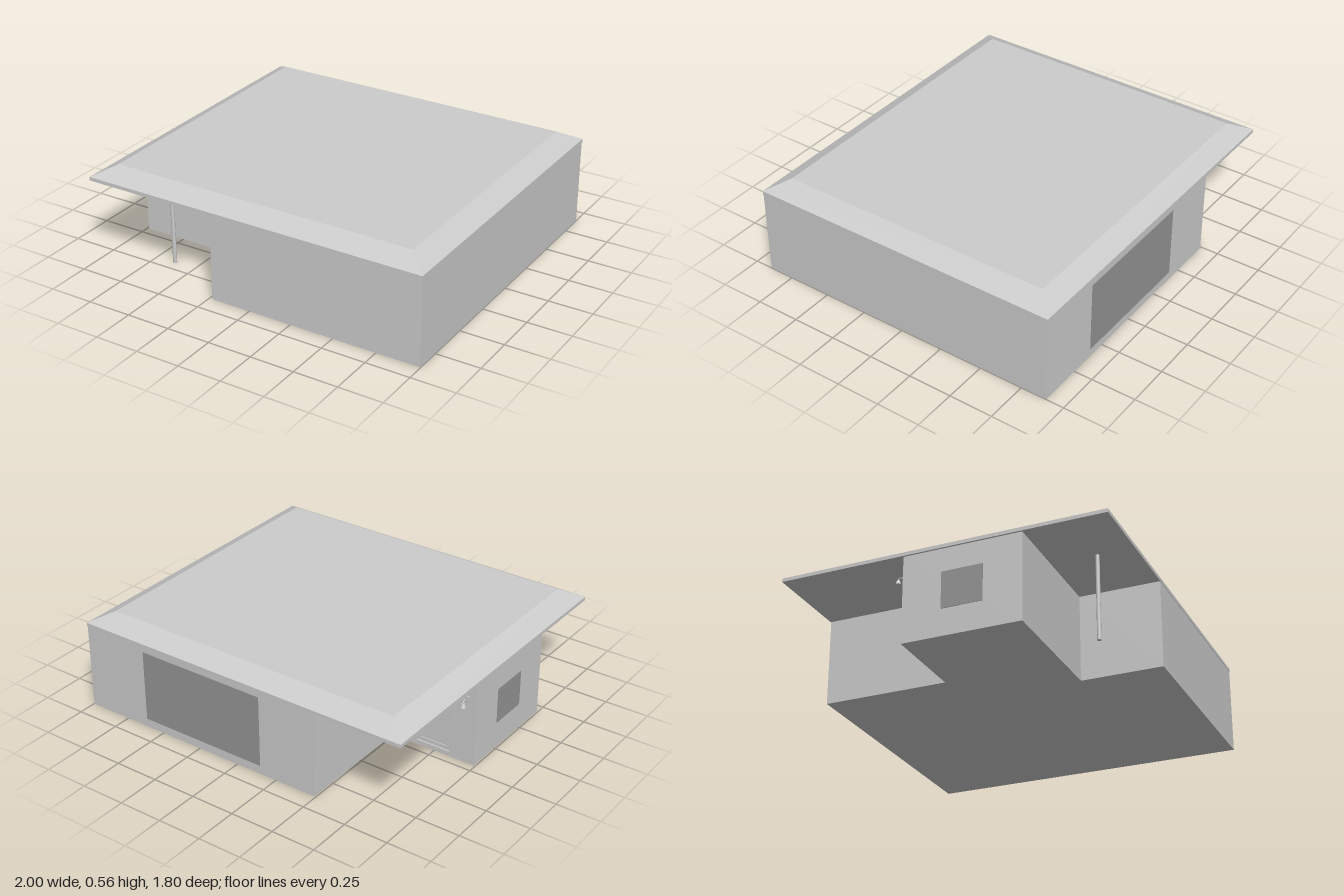
import * as THREE from 'three';

const grey = new THREE.MeshStandardMaterial({ color: 0xcccccc });
const glass = new THREE.MeshStandardMaterial({ color: 0x959595 });

// Box given by its minimum and maximum corners
function box(name, min, max, material = grey) {
  const size = max.map((v, i) => v - min[i]);
  const mesh = new THREE.Mesh(new THREE.BoxGeometry(...size), material);
  mesh.position.set(...max.map((v, i) => (v + min[i]) / 2));
  mesh.name = name;
  return mesh;
}

// Upright prism over a floor plan of [x, z] points
function prism(name, plan, y0, y1) {
  const shape = new THREE.Shape(plan.map(([x, z]) => new THREE.Vector2(x, -z)));
  const geometry = new THREE.ExtrudeGeometry(shape, { depth: y1 - y0, bevelEnabled: false });
  geometry.rotateX(-Math.PI / 2).translate(0, y0, 0);
  const mesh = new THREE.Mesh(geometry, grey);
  mesh.name = name;
  return mesh;
}

function rectangle(Type, x0, y0, x1, y1) {
  return new Type([[x0, y0], [x1, y0], [x1, y1], [x0, y1]].map(p => new THREE.Vector2(...p)));
}

// Roof: thin eave slab below a shallow frustum with a flat top
function makeRoof() {
  const roof = new THREE.Group();
  roof.name = 'roof';
  roof.add(box('eaves', [-1, 0.485, -0.9], [1, 0.505, 0.9]));

  const geometry = new THREE.BoxGeometry(2, 0.06, 1.8).toNonIndexed();
  const p = geometry.attributes.position;
  for (let i = 0; i < p.count; i++) {
    if (p.getY(i) > 0) p.setXYZ(i, Math.sign(p.getX(i)) * 0.887, p.getY(i), Math.sign(p.getZ(i)) * 0.793);
  }
  geometry.computeVertexNormals();
  const top = new THREE.Mesh(geometry, grey);
  top.position.y = 0.535;
  top.name = 'roofTop';
  roof.add(top);
  return roof;
}

// Door in the wall facing the back, with a raised frame and a glazed panel
function makeDoor() {
  const door = new THREE.Group();
  door.name = 'door';
  const addFrame = (name, inset, width, depth) => {
    const [x0, y0, x1, y1] = [-0.87 + inset, 0.025 + inset, -0.635 - inset, 0.43 - inset];
    const shape = rectangle(THREE.Shape, x0, y0, x1, y1);
    shape.holes.push(rectangle(THREE.Path, x0 + width, y0 + width, x1 - width, y1 - width));
    const frame = new THREE.Mesh(new THREE.ExtrudeGeometry(shape, { depth, bevelEnabled: false }), grey);
    frame.position.z = -0.2 - depth;
    frame.name = name;
    door.add(frame);
  };
  addFrame('doorFrame', 0, 0.015, 0.016);
  addFrame('doorLeafRim', 0.015, 0.022, 0.008);
  door.add(box('doorPane', [-0.84, 0.06, -0.203], [-0.665, 0.4, -0.199]));
  const knob = new THREE.Mesh(new THREE.SphereGeometry(0.008, 12, 8), grey);
  knob.position.set(-0.66, 0.22, -0.214);
  knob.name = 'doorKnob';
  door.add(knob);
  return door;
}

// Small wall lamp on a bent arm beside the door
function makeLamp() {
  const lamp = new THREE.Group();
  lamp.name = 'wallLamp';
  lamp.add(box('lampPlate', [-0.955, 0.36, -0.206], [-0.93, 0.4, -0.199]));
  const path = new THREE.CatmullRomCurve3([
    [0.375, -0.205], [0.385, -0.22], [0.396, -0.235], [0.39, -0.248], [0.38, -0.25],
  ].map(([y, z]) => new THREE.Vector3(-0.9425, y, z)));
  const arm = new THREE.Mesh(new THREE.TubeGeometry(path, 16, 0.004, 8), grey);
  arm.name = 'lampArm';
  const shade = new THREE.Mesh(new THREE.CylinderGeometry(0.008, 0.016, 0.022, 12), grey);
  shade.position.set(-0.9425, 0.372, -0.25);
  shade.name = 'lampShade';
  lamp.add(arm, shade);
  return lamp;
}

export function createModel() {
  const house = new THREE.Group();
  house.name = 'house';

  // Walls with one notch at the front corner and one at the back corner
  const plan = [
    [-0.23, 0.898], [0.998, 0.898], [0.998, -0.897], [-0.49, -0.897],
    [-0.49, -0.2], [-0.99, -0.2], [-0.99, 0.45], [-0.23, 0.45],
  ];
  house.add(prism('walls', plan, 0, 0.5));
  house.add(makeRoof());

  // Windows
  house.add(box('backWindow', [-0.15, 0.05, -0.9], [0.61, 0.457, -0.89], glass));
  house.add(box('sideWindow', [-0.993, 0.15, 0.015], [-0.98, 0.354, 0.24], glass));

  house.add(makeDoor(), makeLamp());

  // Porch post under the open front corner
  const post = new THREE.Mesh(new THREE.CylinderGeometry(0.011, 0.011, 0.475, 12), grey);
  post.position.set(-0.618, 0.2495, 0.7);
  post.name = 'porchPost';
  house.add(post);

  return house;
}
